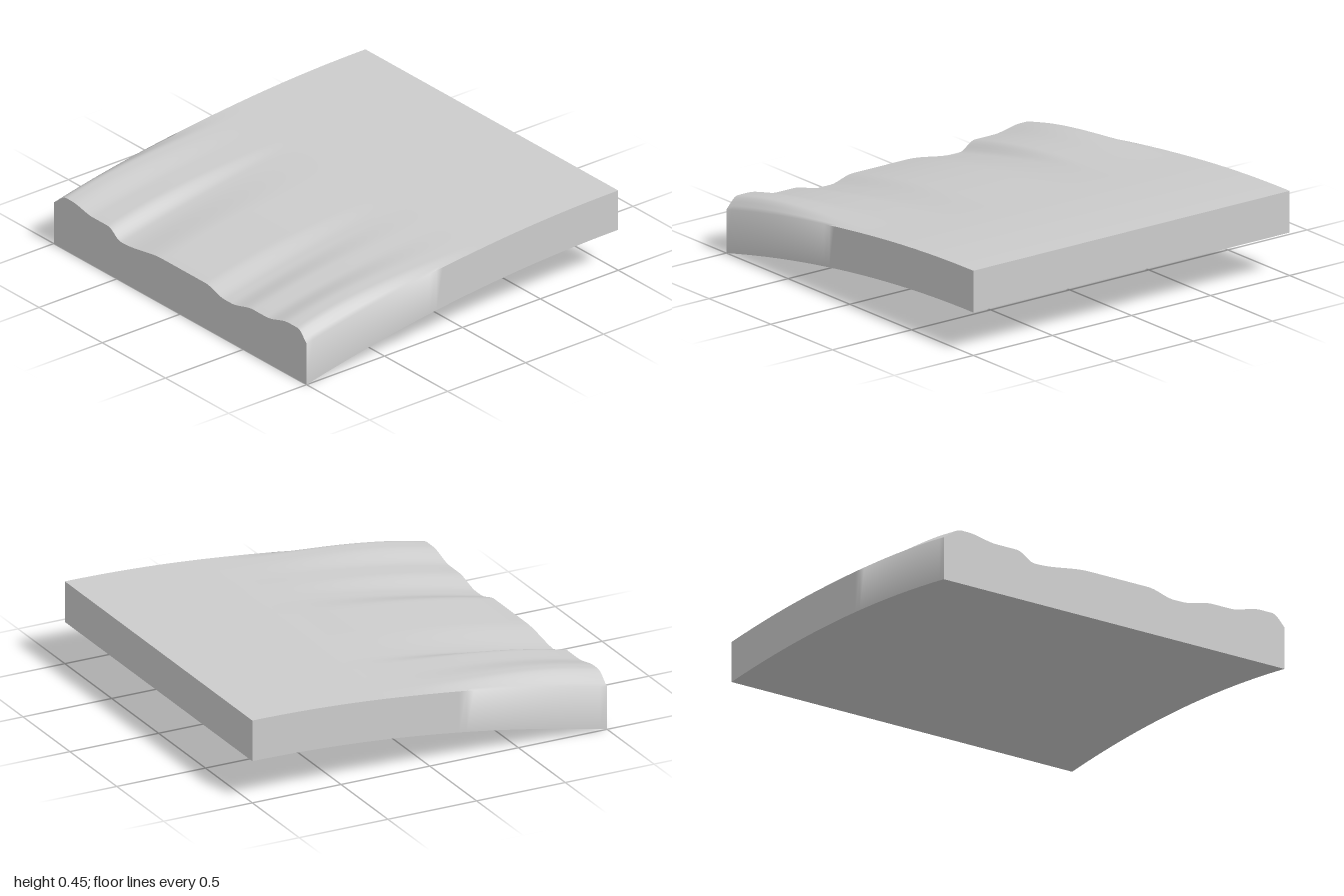
import * as THREE from 'three';
import { toCreasedNormals } from 'three/addons/utils/BufferGeometryUtils.js';

const { smoothstep } = THREE.MathUtils;

// Ripples across the slab: [z start, z end, change in height]
const steps = [
  [-1.03, -0.9, 0.073], [-0.86, -0.69, -0.025], [-0.57, -0.47, -0.05],
  [-0.45, -0.14, 0.035], [0.2, 0.35, -0.033], [0.4, 0.58, 0.033],
  [0.68, 0.86, 0.037], [0.93, 1.03, -0.078],
];

// Gently arched underside
const underside = (x) => 0.229 - 0.0565 * (1 - x) ** 2;

// Ripple height, fading out towards the smooth half
function ripple(x, z) {
  const fade = 1 - smoothstep(x, -0.9, 0.2);
  let h = 0;
  for (const [a, b, d] of steps) h += d * smoothstep(z, a, b);
  return h * fade;
}

export function createModel() {
  const group = new THREE.Group();
  group.name = 'rippledSlab';
  const grey = new THREE.MeshStandardMaterial({ color: 0xcccccc });
  grey.name = 'light grey';

  // A box bent along the arch, with its top raised by the ripples
  const box = new THREE.BoxGeometry(2, 1, 2, 48, 1, 120);
  const p = box.attributes.position;
  for (let i = 0; i < p.count; i++) {
    const x = p.getX(i), z = p.getZ(i);
    const thickness = p.getY(i) > 0 ? 0.22 + ripple(x, z) : 0;
    p.setY(i, underside(x) + thickness);
  }
  box.computeBoundingBox();
  box.translate(0, -box.boundingBox.min.y, 0);

  const slab = new THREE.Mesh(toCreasedNormals(box, 1.33), grey);
  slab.name = 'slab';
  group.add(slab);
  return group;
}
